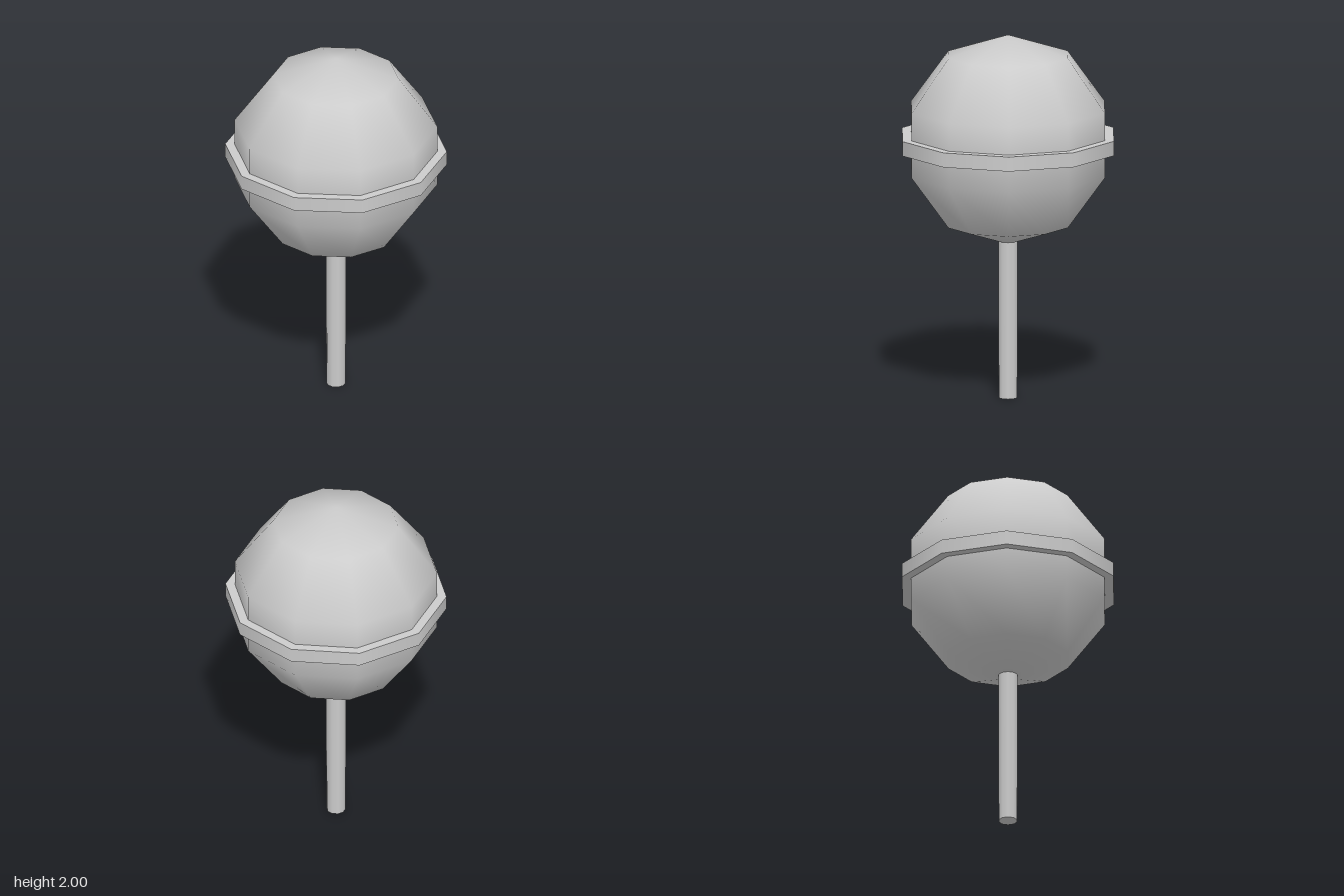
import * as THREE from 'three';

const SIDES = 10;
const material = new THREE.MeshStandardMaterial({ color: 0xcccccc });

// Ten-sided upright cylinder spanning y0 to y1, with corners on the x axis
function column(name, rTop, rBottom, y0, y1) {
  const geometry = new THREE.CylinderGeometry(rTop, rBottom, y1 - y0, SIDES, 1, false, Math.PI / 2);
  const mesh = new THREE.Mesh(geometry, material);
  mesh.name = name;
  mesh.position.y = (y0 + y1) / 2;
  return mesh;
}

export function createModel() {
  const group = new THREE.Group();
  group.name = 'lollipop';

  // Candy ball: low-poly sphere with smooth shading
  const candy = new THREE.Mesh(new THREE.SphereGeometry(0.577, SIDES, 5), material);
  candy.name = 'candy';
  candy.position.y = 1.423;
  group.add(candy);

  // Raised band round the middle
  group.add(column('band', 0.6, 0.6, 1.37, 1.45));

  // Slightly tapered stick, ending inside the candy
  group.add(column('stick', 0.055, 0.052, 0, 0.92));

  return group;
}
